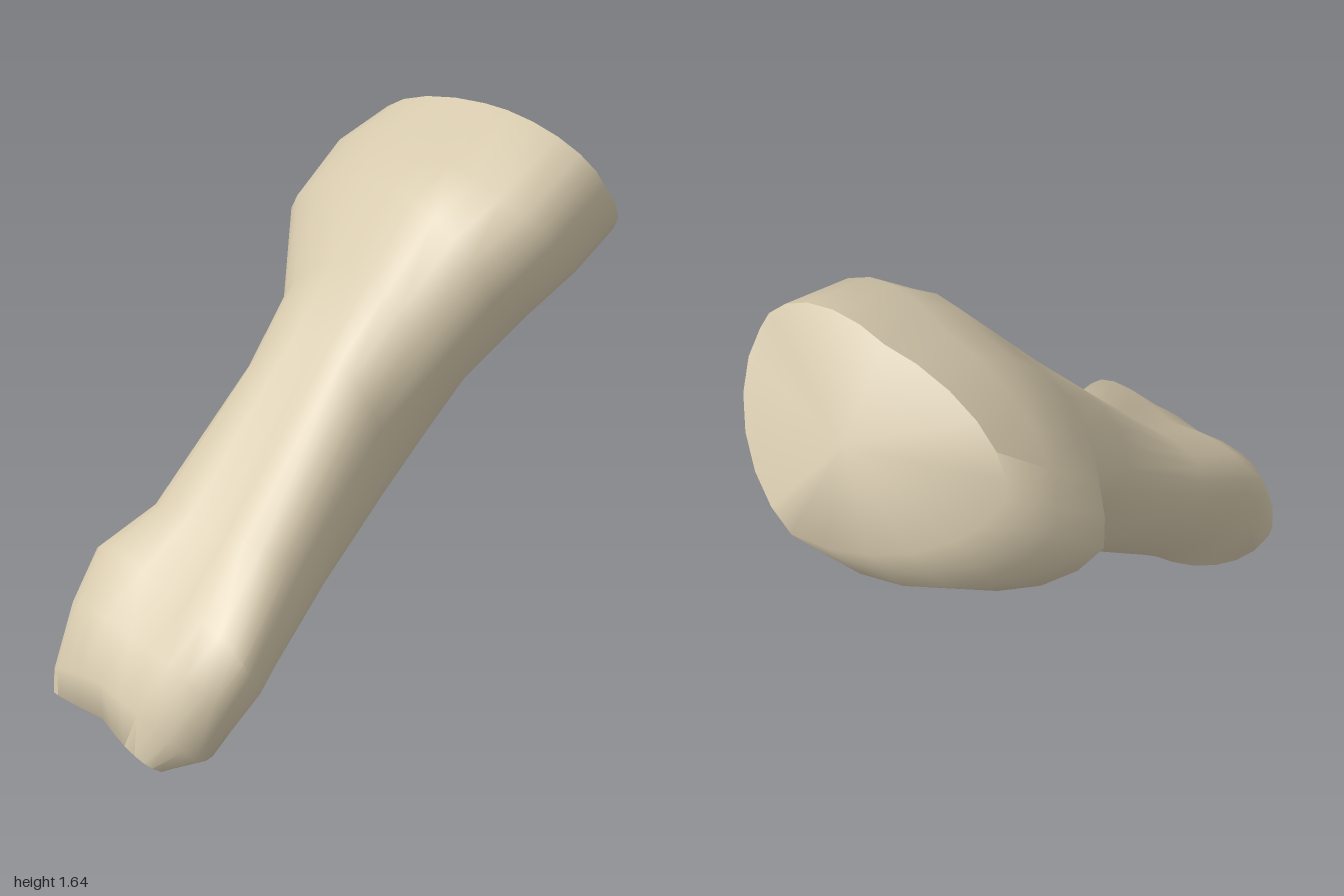
import * as THREE from 'three';
import { toCreasedNormals } from 'three/addons/utils/BufferGeometryUtils.js';

const SEGMENTS = 24;

// Cross-sections from the lower knuckles to the head: top, +x side, underside, -x side
const SECTIONS = [
  [[0.2, 0.17, 0.93], [0.45, 0.12, 0.89], [0.2, 0.01, 0.64], [-0.06, 0.085, 0.92]],
  [[0.2, 0.31, 0.93], [0.52, 0.17, 0.81], [0.2, 0.01, 0.62], [-0.08, 0.1, 0.88]],
  [[0.2, 0.44, 0.82], [0.56, 0.33, 0.74], [0.2, 0.03, 0.59], [-0.12, 0.3, 0.8]],
  [[0.2, 0.55, 0.68], [0.59, 0.47, 0.66], [0.2, 0.1, 0.48], [-0.155, 0.45, 0.69]],
  [[0.15, 0.66, 0.48], [0.43, 0.61, 0.36], [0.17, 0.32, 0.15], [-0.13, 0.54, 0.47]],
  [[0.08, 1.12, 0.03], [0.335, 0.9, -0.01], [0.08, 0.62, -0.35], [-0.18, 0.78, 0.1]],
  [[0.05, 1.3, -0.14], [0.38, 1.07, -0.17], [0.05, 0.8, -0.52], [-0.28, 0.91, -0.12]],
  [[0, 1.48, -0.32], [0.43, 1.27, -0.35], [0, 0.91, -0.75], [-0.575, 1.05, -0.37]],
  [[0, 1.54, -0.45], [0.475, 1.42, -0.53], [0, 0.99, -0.92], [-0.59, 1.22, -0.57]],
  [[-0.03, 1.62, -0.69], [0.41, 1.5, -0.79], [0.04, 1.08, -1.0], [-0.5, 1.33, -0.67]],
];

// Rounded loop through four extreme points, one elliptic quadrant at a time.
// The upper half is boxy at the knuckles and grows rounder towards the head.
function ring(section, i) {
  const p = section.map((a) => new THREE.Vector3(...a));
  const center = p.reduce((s, v) => s.add(v), new THREE.Vector3()).multiplyScalar(0.25);
  const arms = p.map((v) => v.clone().sub(center));
  const points = [];
  for (let j = 0; j < SEGMENTS; j++) {
    const t = (j / SEGMENTS) * 4;
    const q = Math.floor(t);
    const angle = ((t - q) * Math.PI) / 2;
    const power = q === 0 || q === 3 ? 0.82 + 0.03 * i : 1.08;
    points.push(center.clone()
      .addScaledVector(arms[q], Math.pow(Math.cos(angle), power))
      .addScaledVector(arms[(q + 1) % 4], Math.pow(Math.sin(angle), power)));
  }
  return points;
}

function loft(sections, startCenter, endCenter) {
  const positions = [];
  const index = [];
  sections.forEach((s, i) => ring(s, i).forEach((v) => positions.push(v.x, v.y, v.z)));
  const last = (sections.length - 1) * SEGMENTS;
  const start = sections.length * SEGMENTS;
  positions.push(...startCenter, ...endCenter);
  for (let j = 0; j < SEGMENTS; j++) {
    const k = (j + 1) % SEGMENTS;
    for (let r = 0; r < last; r += SEGMENTS) {
      const n = r + SEGMENTS;
      index.push(r + j, r + k, n + j, r + k, n + k, n + j);
    }
    // End caps
    index.push(start, k, j, start + 1, last + j, last + k);
  }
  const geometry = new THREE.BufferGeometry();
  geometry.setAttribute('position', new THREE.Float32BufferAttribute(positions, 3));
  geometry.setIndex(index);
  return toCreasedNormals(geometry, 1.1);
}

export function createModel() {
  const group = new THREE.Group();
  group.name = 'bone';
  const boneMaterial = new THREE.MeshStandardMaterial({ color: 0xd6c9ad });
  boneMaterial.name = 'pale bone';

  // Shaft with the knuckle end (slightly hollow) and the broad head (slightly domed)
  const shaft = new THREE.Mesh(loft(SECTIONS, [0.2, 0.09, 0.83], [-0.06, 1.38, -0.88]), boneMaterial);
  shaft.name = 'boneShaftAndEnds';
  group.add(shaft);
  return group;
}
